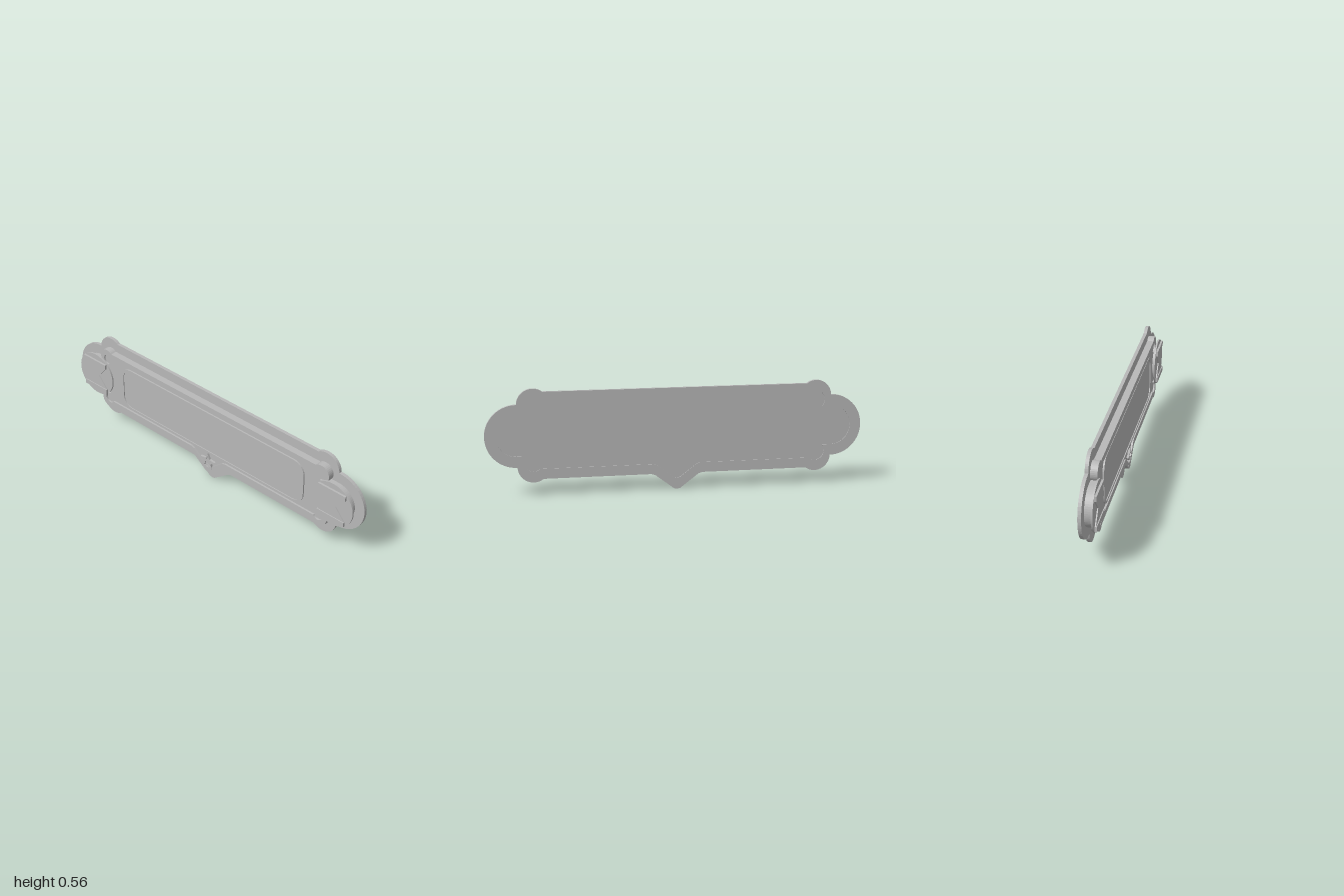
import * as THREE from 'three';

const CY = 0.313; // height of the long axis
const END_X = 0.835; // centre of the round ends

// Plaque outline: round ends, four corner lobes and a pointed drop at the bottom.
function outline({ half, lobeX, lobeY, lobeR, endR, vWidth, tip }) {
  const quarter = [];
  for (let i = 0; i <= 14; i++) {
    const a = (i / 14) * Math.PI / 2;
    quarter.push([END_X + endR * Math.cos(a), endR * Math.sin(a)]);
  }
  const a0 = Math.asin(THREE.MathUtils.clamp((endR - lobeY) / lobeR, -1, 1));
  const a1 = Math.PI - Math.asin((half - lobeY) / lobeR);
  for (let i = 0; i <= 16; i++) {
    const a = a0 + (a1 - a0) * i / 16;
    quarter.push([lobeX + lobeR * Math.cos(a), lobeY + lobeR * Math.sin(a)]);
  }
  quarter.push([quarter.at(-1)[0] - 0.02, half]);
  const back = [...quarter].reverse();
  const bottom = CY - half, s = (bottom - tip) / vWidth;
  const drop = [[-vWidth - 0.01, bottom], [-vWidth + 0.01, bottom - 0.01 * s],
    [-0.035, tip + 0.026 * s], [-0.018, tip + 0.004], [0, tip]];
  const right = drop.slice(0, 4).reverse().map(([x, y]) => [-x, y]);
  const pts = [
    ...quarter.map(([x, y]) => [x, CY + y]),
    ...back.map(([x, y]) => [-x, CY + y]),
    ...quarter.slice(1).map(([x, y]) => [-x, CY - y]),
    ...drop, ...right,
    ...back.slice(0, -1).map(([x, y]) => [x, CY - y]),
  ];
  return pts.map(([x, y]) => new THREE.Vector2(x, y));
}

function roundedRect(w, h, r) {
  const pts = [];
  [[1, 1], [-1, 1], [-1, -1], [1, -1]].forEach(([sx, sy], q) => {
    for (let i = 0; i <= 8; i++) {
      const a = (q + i / 8) * Math.PI / 2;
      pts.push(new THREE.Vector2(sx * (w - r) + r * Math.cos(a), CY + sy * (h - r) + r * Math.sin(a)));
    }
  });
  return pts;
}

function star(r, cy) {
  return Array.from({ length: 10 }, (_, i) => {
    const a = Math.PI / 2 + i * Math.PI / 5, k = i % 2 ? r * 0.46 : r;
    return new THREE.Vector2(k * Math.cos(a), cy + k * Math.sin(a));
  });
}

export function createModel() {
  const group = new THREE.Group();
  const grey = new THREE.MeshStandardMaterial({ color: 0xb8b8b8 });
  grey.name = 'plain grey';

  function add(name, geometry, parent = group) {
    const mesh = new THREE.Mesh(geometry, grey);
    mesh.name = name;
    parent.add(mesh);
    return mesh;
  }
  // Flat plate from z0 to z1, with an optional hole
  function plate(name, pts, z0, z1, hole, parent) {
    const shape = new THREE.Shape(pts);
    if (hole) shape.holes.push(new THREE.Path(hole));
    const geometry = new THREE.ExtrudeGeometry(shape, { depth: z1 - z0, bevelEnabled: false });
    return add(name, geometry.translate(0, 0, z0), parent);
  }

  const flange = outline({ half: 0.228, lobeX: 0.75, lobeY: 0.162, lobeR: 0.083, endR: 0.164, vWidth: 0.125, tip: 0 });
  const body = outline({ half: 0.175, lobeX: 0.75, lobeY: 0.138, lobeR: 0.05, endR: 0.106, vWidth: 0.115, tip: 0.06 });
  const recess = outline({ half: 0.141, lobeX: 0.745, lobeY: 0.127, lobeR: 0.03, endR: 0.085, vWidth: 0.11, tip: 0.09 });

  // Flange around a slightly sunken back, then the body with its raised rim
  plate('backFlange', flange, -0.036, -0.018, body);
  plate('body', body, -0.032, 0.008);
  plate('bodyRim', body, 0.008, 0.018, recess);

  // Name panel with a narrow raised border
  plate('panelBorder', roundedRect(0.645, 0.13, 0.07), 0.008, 0.016, roundedRect(0.63, 0.118, 0.058));
  plate('panel', roundedRect(0.63, 0.118, 0.058), 0.008, 0.011);

  // Star outline in the bottom point
  plate('starBorder', star(0.052, 0.127), 0.008, 0.02, star(0.036, 0.127));
  plate('starCentre', star(0.036, 0.127), 0.008, 0.014);

  // Round end caps, each with an hourglass between two bars
  for (const side of [-1, 1]) {
    const cap = new THREE.Group();
    cap.name = side > 0 ? 'leftCap' : 'rightCap';
    cap.position.set(side * END_X, 0, 0);
    group.add(cap);
    const disc = (name, r, z0, z1) => add(name,
      new THREE.CylinderGeometry(r, r, z1 - z0, 48).rotateX(Math.PI / 2).translate(0, CY, (z0 + z1) / 2), cap);
    disc('capPost', 0.1, 0.008, 0.018);
    disc('capDisc', 0.127, 0.018, 0.027);
    const hourglass = [[-0.082, -0.068], [0.082, -0.068], [0.025, 0], [0.082, 0.068], [-0.082, 0.068], [-0.025, 0]];
    plate('capHourglass', hourglass.map(([x, y]) => new THREE.Vector2(x, CY + y)), 0.027, 0.033, null, cap);
    for (const s of [-1, 1]) {
      add('capBar', new THREE.BoxGeometry(0.168, 0.027, 0.011).translate(0, CY + s * 0.081, 0.0325), cap);
    }
  }
  return group;
}
